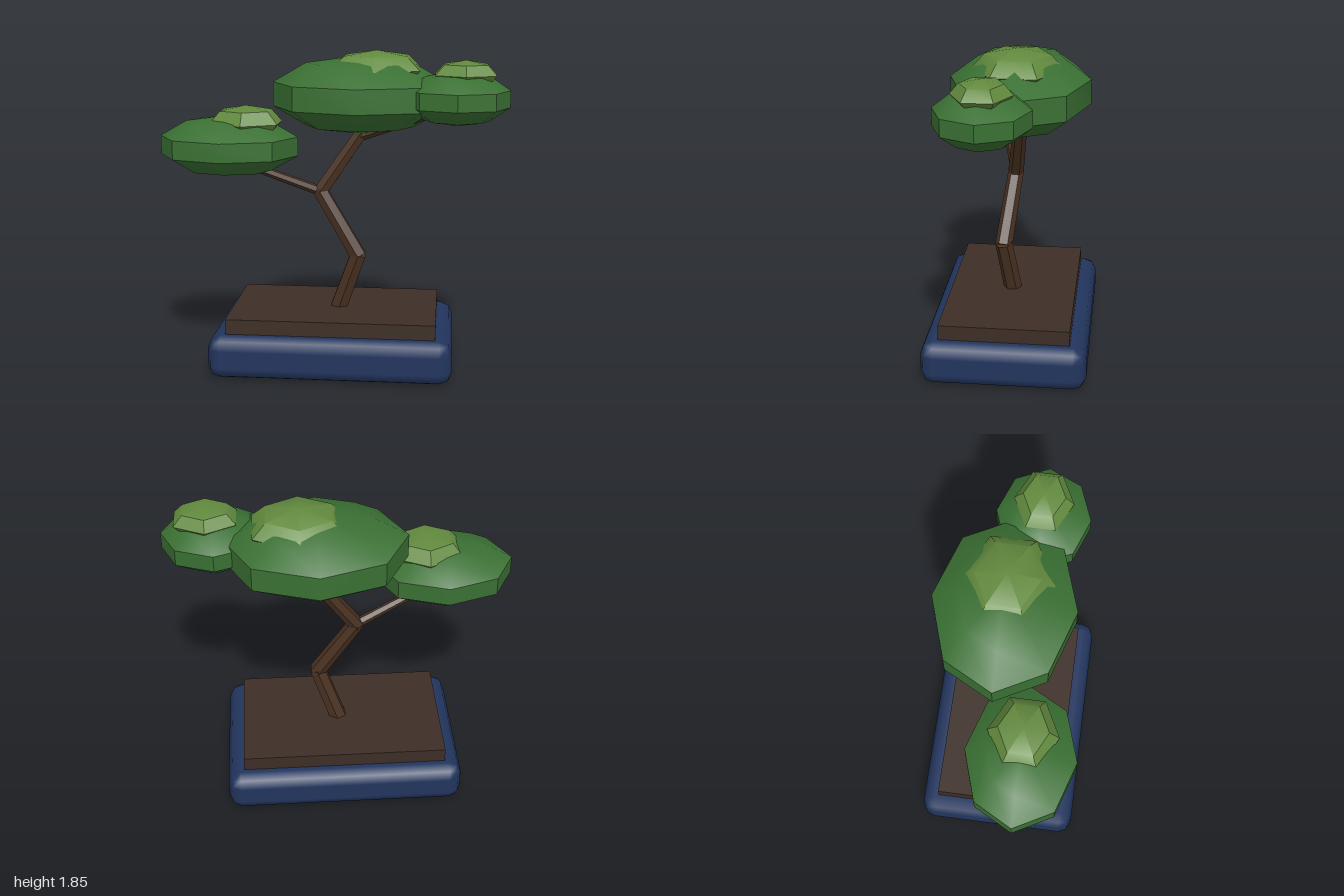
import * as THREE from 'three';
import { toCreasedNormals } from 'three/addons/utils/BufferGeometryUtils.js';
import { RoundedBoxGeometry } from 'three/addons/geometries/RoundedBoxGeometry.js';

const mat = (color) => new THREE.MeshStandardMaterial({ color });

export function createModel() {
  const group = new THREE.Group();
  const glaze = mat(0x22355e);
  const earth = mat(0x3d2e26);
  const bark = mat(0x4a3222);
  bark.flatShading = true;
  const leaf = mat(0x3a7033);
  const lightLeaf = mat(0x628a3e);

  const add = (name, geometry, material, position) => {
    const mesh = new THREE.Mesh(geometry, material);
    mesh.name = name;
    mesh.position.set(...position);
    group.add(mesh);
    return mesh;
  };

  // Tapered six-sided limb between two points
  const limb = (name, from, to, r0, r1) => {
    const a = new THREE.Vector3(...from);
    const b = new THREE.Vector3(...to);
    const dir = b.clone().sub(a);
    const mesh = add(name, new THREE.CylinderGeometry(r1, r0, dir.length() + 0.02, 6), bark,
      a.clone().add(b).multiplyScalar(0.5).toArray());
    mesh.quaternion.setFromUnitVectors(new THREE.Vector3(0, 1, 0), dir.normalize());
  };

  // Squashed low-poly ball; creases keep the rim bands crisp
  const blob = (name, material, sides, rings, turn, center, radii) => {
    const geometry = new THREE.SphereGeometry(1, sides, rings);
    geometry.rotateY(turn);
    geometry.scale(...radii);
    add(name, toCreasedNormals(geometry, 0.7), material, center);
  };

  // Pot and soil
  add('pot', new RoundedBoxGeometry(1.4, 0.25, 0.94, 1, 0.075), glaze, [0.003, 0.118, -0.002]);
  add('soil', new THREE.BoxGeometry(1.205, 0.13, 0.745), earth, [0.003, 0.265, -0.002]);

  // Zigzag trunk
  const trunk = [[0.01, 0.28, 0], [0.14, 0.65, 0.047], [-0.085, 1.02, 0], [0.16, 1.38, -0.05]];
  const widths = [0.055, 0.051, 0.046, 0.04];
  for (let i = 0; i < 3; i++) limb('trunk', trunk[i], trunk[i + 1], widths[i], widths[i + 1]);

  // Side branches
  limb('leftwardBranch', trunk[2], [-0.6, 1.23, 0.13], 0.03, 0.022);
  limb('rightwardBranch', [0.13, 1.34, -0.045], [0.7, 1.54, 0.09], 0.032, 0.02);

  // Foliage pads
  const pads = [
    ['mainFoliage', [0.14, 1.585, -0.05], [0.51, 0.227, 0.395]],
    ['lowFoliage', [-0.6, 1.305, 0.135], [0.4, 0.175, 0.305]],
    ['smallFoliage', [0.703, 1.585, 0.093], [0.297, 0.155, 0.263]],
  ];
  const rim = Math.sin(Math.PI * 0.4); // widest ring of a five-row ball
  for (const [name, center, [rx, ry, rz]] of pads) {
    blob(name, leaf, 8, 5, 0, center, [rx / rim, ry, rz / rim]);
  }

  // Sunlit tufts on top of each pad
  const tufts = [
    ['mainTuft', [0.235, 1.735, -0.045], [0.255, 0.11, 0.255]],
    ['lowTuft', [-0.5, 1.44, 0.135], [0.195, 0.1, 0.195]],
    ['smallTuft', [0.747, 1.72, 0.088], [0.172, 0.082, 0.165]],
  ];
  const flat = Math.cos(Math.PI / 6); // hexagon is narrower across its flats
  for (const [name, center, [rx, ry, rz]] of tufts) {
    blob(name, lightLeaf, 6, 4, Math.PI / 2, center, [rx / flat, ry, rz]);
  }

  return group;
}
